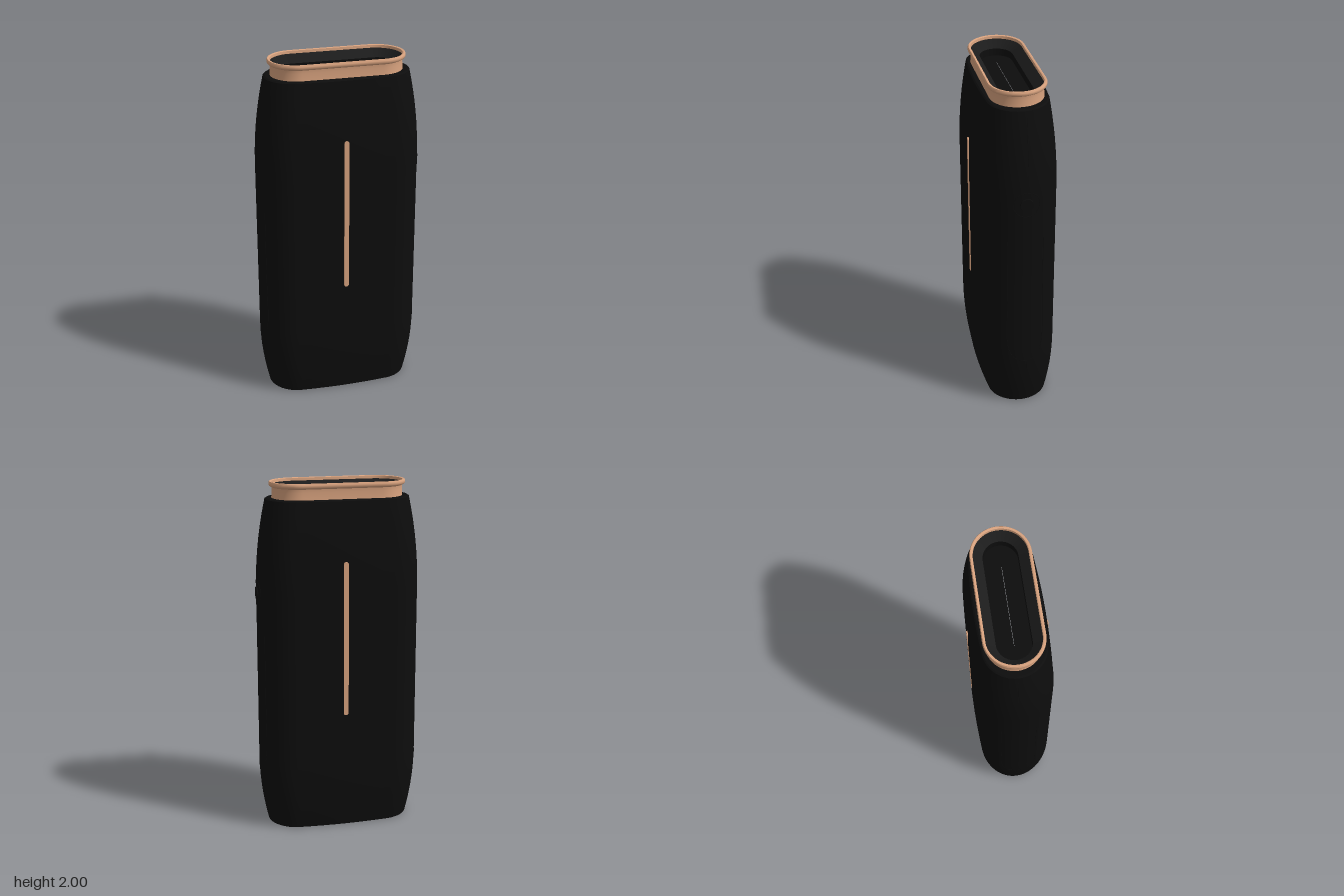
import * as THREE from 'three';
import { toCreasedNormals } from 'three/addons/utils/BufferGeometryUtils.js';

const mat = (color, roughness = 0.6) => new THREE.MeshStandardMaterial({ color, roughness });
const black = mat(0x0d0d0d);
const charcoal = mat(0x1c1c1c);
const copper = mat(0xd9a37f);
const brown = mat(0x9a7560);
const silver = mat(0xcccccc);

// Stadium outline: flat half-length f, rounded ends, slightly bowed long sides.
function section(hx, hz, f, bow) {
  const pts = [], arc = 28, flat = 10, r = hz - bow;
  for (const s of [1, -1]) {
    for (let i = 0; i <= arc; i++) {
      const t = -Math.PI / 2 + (Math.PI * i) / arc;
      pts.push([s * (f + (hx - f) * Math.cos(t)), s * r * Math.sin(t)]);
    }
    for (let i = 1; i < flat; i++) {
      const u = 1 - (2 * i) / flat;
      pts.push([s * u * f, s * (r + bow * (1 - u * u))]);
    }
  }
  return pts;
}

// Skin a list of [hx, hz, y, f, bow] cross-sections.
function loft(name, rings, material, crease = 0.5) {
  const pos = [], index = [];
  let n = 0;
  for (const [hx, hz, y, f = hx - hz, bow = 0] of rings) {
    const pts = section(hx, hz, f, bow);
    n = pts.length;
    for (const [x, z] of pts) pos.push(x, y, z);
  }
  for (let i = 0; i < rings.length - 1; i++) {
    for (let j = 0; j < n; j++) {
      const a = i * n + j, b = i * n + ((j + 1) % n);
      index.push(a, a + n, b, b, a + n, b + n);
    }
  }
  const g = new THREE.BufferGeometry();
  g.setAttribute('position', new THREE.Float32BufferAttribute(pos, 3));
  g.setIndex(index);
  const mesh = new THREE.Mesh(toCreasedNormals(g, crease), material);
  mesh.name = name;
  return mesh;
}

// Body size at a given height: straight middle, tapering to both ends.
function bodyRing(y) {
  let inset = 0;
  if (y < 0.4) inset = 0.05 * (1 - y / 0.4) ** 2;
  if (y > 1.4) inset = 0.055 * ((y - 1.4) / 0.5) ** 2;
  return [0.465 - inset, 0.217 - inset * 0.7, y, 0.28 - inset * 0.6, 0.011];
}

// x of the body's rounded side at (y, z)
function sideX(y, z) {
  const [hx, hz, , f, bow] = bodyRing(y);
  return f + (hx - f) * Math.sqrt(1 - (z / (hz - bow)) ** 2);
}

function pill(halfW, halfL, depth) {
  const s = new THREE.Shape(), c = halfL - halfW;
  s.absarc(0, c, halfW, 0, Math.PI);
  s.absarc(0, -c, halfW, Math.PI, Math.PI * 2);
  return new THREE.ExtrudeGeometry(s, { depth, bevelEnabled: false, curveSegments: 12 });
}

export function createModel() {
  const model = new THREE.Group();
  const add = (name, geometry, material, parent = model) => {
    const m = new THREE.Mesh(geometry, material);
    m.name = name;
    parent.add(m);
    return m;
  };

  // Main shell
  const rings = [[0.395, 0.16, 0.002, 0.25, 0.01], [0.41, 0.176, 0, 0.25, 0.011]];
  for (let i = 0; i <= 44; i++) rings.push(bodyRing(0.004 + (1.9 * i) / 44));
  rings.push([0.4, 0.17, 1.91, 0.245, 0.01], [0.355, 0.13, 1.91, 0.225, 0]);
  model.add(loft('body', rings, black));

  // Neck with flared lip
  model.add(loft('neckRing', [
    [0.372, 0.147, 1.9], [0.368, 0.143, 1.95], [0.37, 0.145, 1.968], [0.381, 0.155, 1.974],
    [0.386, 0.159, 1.981], [0.386, 0.159, 1.992], [0.382, 0.155, 1.999], [0.376, 0.149, 2],
    [0.37, 0.143, 1.997], [0.368, 0.141, 1.975],
  ], copper, 0.7));

  // Opening inside the neck
  model.add(loft('openingSlope', [[0.369, 0.142, 1.982], [0.325, 0.092, 1.94]], charcoal));
  model.add(loft('openingFloor', [
    [0.325, 0.092, 1.94], [0.322, 0.09, 1.9], [0.234, 0.001, 1.9],
  ], black));

  // Accent strips on front and back
  for (const side of [0, 1]) {
    const holder = new THREE.Group();
    holder.name = side ? 'backStrip' : 'frontStrip';
    holder.rotation.y = side * Math.PI;
    const strip = add('strip', pill(0.014, 0.4425, 0.025), copper, holder);
    strip.position.set(0, 1.1325, 0.195);
    model.add(holder);
  }

  // Base: rim and recessed plate
  model.add(loft('baseRim', [
    [0.355, 0.122, 0.022], [0.357, 0.124, 0.006], [0.363, 0.13, 0.001],
    [0.392, 0.158, 0.001], [0.399, 0.165, 0.008],
  ], copper));
  model.add(loft('basePlate', [[0.233, 0.001, 0.02], [0.356, 0.123, 0.02]], brown));

  // Staggered dots on the plate
  const dots = new THREE.Group();
  dots.name = 'baseDots';
  const dotGeo = new THREE.SphereGeometry(0.0125, 12, 8);
  for (let row = 0; row < 5; row++) {
    for (let col = 0; col < 9; col++) {
      const x = 0.215 - col * 0.066 - (row % 2) * 0.033, z = (row - 2) * 0.045;
      if (x < -0.24 && Math.hypot(x + 0.233, z) > 0.1) continue;
      const dot = add('dot', dotGeo, copper, dots);
      dot.position.set(x, 0.02, z);
      dot.scale.y = 0.5;
    }
  }
  model.add(dots);

  // Charging socket across the +x end of the plate
  const socket = new THREE.Group();
  socket.name = 'chargingSocket';
  const frame = add('socketFrame', pill(0.03, 0.078, 0.014), copper, socket);
  const port = add('socketPort', pill(0.018, 0.062, 0.016), silver, socket);
  for (const m of [frame, port]) m.rotation.x = Math.PI / 2;
  socket.position.set(0.288, 0.021, 0);
  model.add(socket);

  // Fine seams on both rounded sides
  for (const s of [1, -1]) {
    const seams = new THREE.Group();
    seams.name = s > 0 ? 'leftSeams' : 'rightSeams';
    const panel = [[1.15, 0.1], [0.8, 0.1], [0.45, 0.1], [0.38, 0.08], [0.34, 0.04], [0.33, 0],
      [0.34, -0.04], [0.38, -0.08], [0.45, -0.1], [0.8, -0.1], [1.15, -0.1]];
    const upper = [1.48, 1.58, 1.68, 1.78, 1.87].map((y) => [y, -0.008]);
    const lower = [0.25, 0.29, 0.33].map((y) => [y, -0.008]);
    for (const path of [panel, upper, lower]) {
      const curve = new THREE.CatmullRomCurve3(
        path.map(([y, z]) => new THREE.Vector3(s * (sideX(y, z) - 0.0005), y, z)));
      add('seam', new THREE.TubeGeometry(curve, 48, 0.0018, 5), black, seams);
    }
    model.add(seams);
  }

  // Round power button on the +x side
  const button = new THREE.Group();
  button.name = 'powerButton';
  const cap = add('buttonCap', new THREE.CylinderGeometry(0.036, 0.041, 0.02, 32), black, button);
  cap.rotation.z = -Math.PI / 2;
  cap.position.set(0.459, 1.38, 0);
  const ringPts = Array.from({ length: 32 }, (_, i) => {
    const t = (i / 32) * Math.PI * 2, y = 1.38 + 0.073 * Math.cos(t), z = 0.073 * Math.sin(t);
    return new THREE.Vector3(sideX(y, z), y, z);
  });
  add('buttonRing', new THREE.TubeGeometry(
    new THREE.CatmullRomCurve3(ringPts, true), 64, 0.002, 6, true), black, button);
  model.add(button);

  return model;
}
